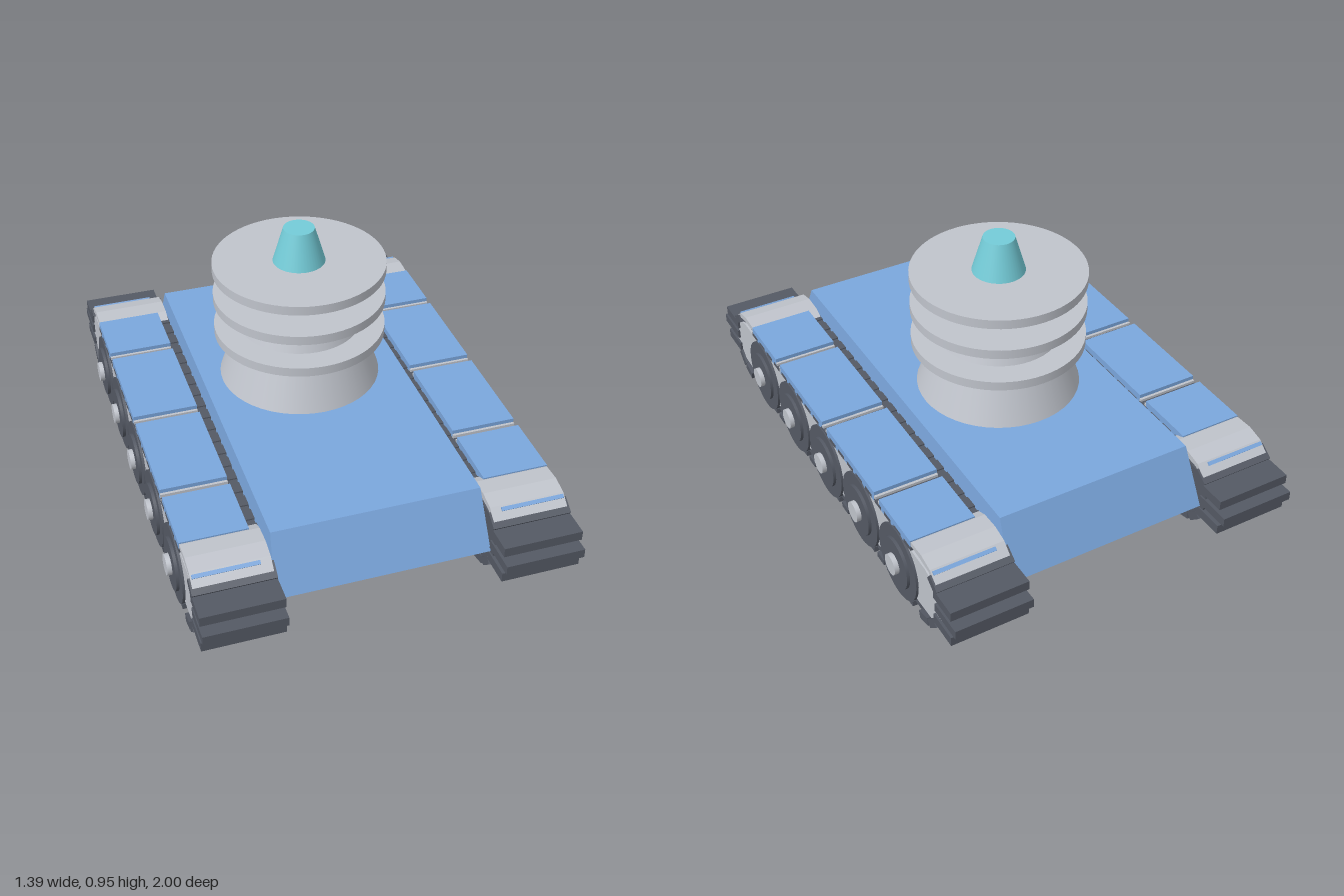
import * as THREE from 'three';

const mat = (name, color) => {
  const m = new THREE.MeshStandardMaterial({ color });
  m.name = name;
  return m;
};

export function createModel() {
  const blue = mat('hull blue', 0x7ba7dd);
  const grey = mat('light grey', 0xc0c4cc);
  const dark = mat('track grey', 0x545964);
  const cyan = mat('cyan', 0x74ccd8);
  const root = new THREE.Group();
  root.name = 'trackedVehicle';

  const add = (parent, name, geo, material, x = 0, y = 0, z = 0) => {
    const m = new THREE.Mesh(geo, material);
    m.name = name;
    m.position.set(x, y, z);
    parent.add(m);
    return m;
  };

  // Hull: a box whose top is drawn in to give sloping sides
  const hull = new THREE.BoxGeometry(0.77, 0.21, 1.72);
  const p = hull.attributes.position;
  for (let i = 0; i < p.count; i++) {
    if (p.getY(i) > 0) p.setXYZ(i, Math.sign(p.getX(i)) * 0.372, p.getY(i), Math.sign(p.getZ(i)) * 0.765);
  }
  hull.computeVertexNormals();
  add(root, 'hull', hull, blue, 0, 0.245, 0);

  // Turret: grey cone, cyan cone and three discs
  const turret = new THREE.Group();
  turret.name = 'turret';
  turret.position.z = -0.1;
  root.add(turret);
  add(turret, 'turretBase', new THREE.CylinderGeometry(0.2, 0.3, 0.29, 48), grey, 0, 0.495);
  add(turret, 'turretTip', new THREE.CylinderGeometry(0.057, 0.15, 0.317, 48), cyan, 0, 0.7985);
  for (const y of [0.548, 0.683, 0.807]) {
    add(turret, 'turretDisc', new THREE.CylinderGeometry(0.317, 0.317, 0.035, 64), grey, 0, y);
  }

  // Side profile given as [z, y], extruded across x from a to b
  const slab = (points, a, b) => {
    const shape = new THREE.Shape(points.map(([z, y]) => new THREE.Vector2(-z, y)));
    const g = new THREE.ExtrudeGeometry(shape, { depth: b - a, bevelEnabled: false });
    return g.rotateY(Math.PI / 2).translate(a, 0, 0);
  };
  const bothEnds = (half) => [...half, ...half.map(([z, y]) => [-z, y]).reverse()];

  const beltHalf = [[0.72, 0.285], [0.83, 0.275], [0.875, 0.24], [0.89, 0.175], [0.87, 0.105], [0.83, 0.06], [0.74, 0.035]];
  const coreHalf = [[0.78, 0.27], [0.85, 0.25], [0.895, 0.225], [0.905, 0.17], [0.885, 0.115], [0.82, 0.08], [0.74, 0.075]];
  const guardHalf = [[0.65, 0.295], [0.69, 0.312], [0.76, 0.316], [0.82, 0.302], [0.862, 0.266], [0.85, 0.26], [0.81, 0.285], [0.75, 0.292]];

  for (const s of [1, -1]) {
    const track = new THREE.Group();
    track.name = s > 0 ? 'leftTrack' : 'rightTrack';
    root.add(track);
    const side = (pts, a, b) => (s > 0 ? slab(pts, a, b) : slab(pts, -b, -a));
    const xMid = s * 0.523;

    // Belt body and the pale plate behind the wheels
    add(track, 'belt', side(bothEnds(beltHalf), 0.385, 0.65), dark);
    add(track, 'sidePlate', side(bothEnds(coreHalf), 0.63, 0.658), grey);

    // Road wheels
    for (let i = -2; i <= 2; i++) {
      const wheel = new THREE.Group();
      wheel.name = 'wheel';
      wheel.position.set(0, 0.143, i * 0.295);
      track.add(wheel);
      const disc = (name, r, a, b, m) =>
        add(wheel, name, new THREE.CylinderGeometry(r, r, b - a, 32).rotateZ(Math.PI / 2), m, s * (a + b) / 2);
      disc('tyre', 0.14, 0.42, 0.667, dark);
      disc('wheelRim', 0.095, 0.6, 0.678, dark);
      disc('wheelHub', 0.038, 0.6, 0.695, grey);
    }

    // Belt links along the bottom and top
    for (let i = -9; i <= 9; i++) {
      const z = i * 0.0738;
      add(track, 'bottomLink', new THREE.BoxGeometry(0.28, 0.022, 0.05), dark, xMid, 0.03, z);
      add(track, 'topLink', new THREE.BoxGeometry(0.28, 0.014, 0.05), dark, xMid, 0.283, z);
    }

    for (const e of [1, -1]) {
      // Long cleats around the end of the belt: y, z, depth, height
      for (const [y, z, d, h] of [[0.228, 0.91, 0.12, 0.036], [0.174, 0.93, 0.14, 0.034], [0.117, 0.91, 0.12, 0.036]]) {
        add(track, 'endCleat', new THREE.BoxGeometry(0.287, h, d), dark, xMid, y, e * z);
      }
      // Tilted links where the belt curves: y, z, tilt
      for (const [y, z, t] of [[0.26, 0.845, 0.6], [0.075, 0.835, -0.75], [0.045, 0.775, -0.25]]) {
        const link = add(track, 'curveLink', new THREE.BoxGeometry(0.287, 0.03, 0.06), dark, xMid, y, e * z);
        link.rotation.x = e * t;
      }
      // Curved end guard with a thin blue stripe
      add(track, 'endGuard', side(guardHalf.map(([z, y]) => [e * z, y]), 0.387, 0.66), grey);
      const stripe = add(track, 'guardStripe', new THREE.BoxGeometry(0.23, 0.008, 0.014), blue, s * 0.54, 0.295, e * 0.832);
      stripe.rotation.x = e * 0.7;
    }

    // Blue fender panels with gaps between them
    for (const [a, b] of [[-0.685, -0.455], [-0.415, -0.025], [0.015, 0.405], [0.445, 0.685]]) {
      add(track, 'fender', new THREE.BoxGeometry(0.24, 0.04, b - a), blue, s * 0.542, 0.295, (a + b) / 2);
      for (const z of [a - 0.005, b + 0.005]) {
        if (Math.abs(z) < 0.6) add(track, 'fenderEdge', new THREE.BoxGeometry(0.24, 0.03, 0.01), grey, s * 0.542, 0.285, z);
      }
    }
  }
  return root;
}
